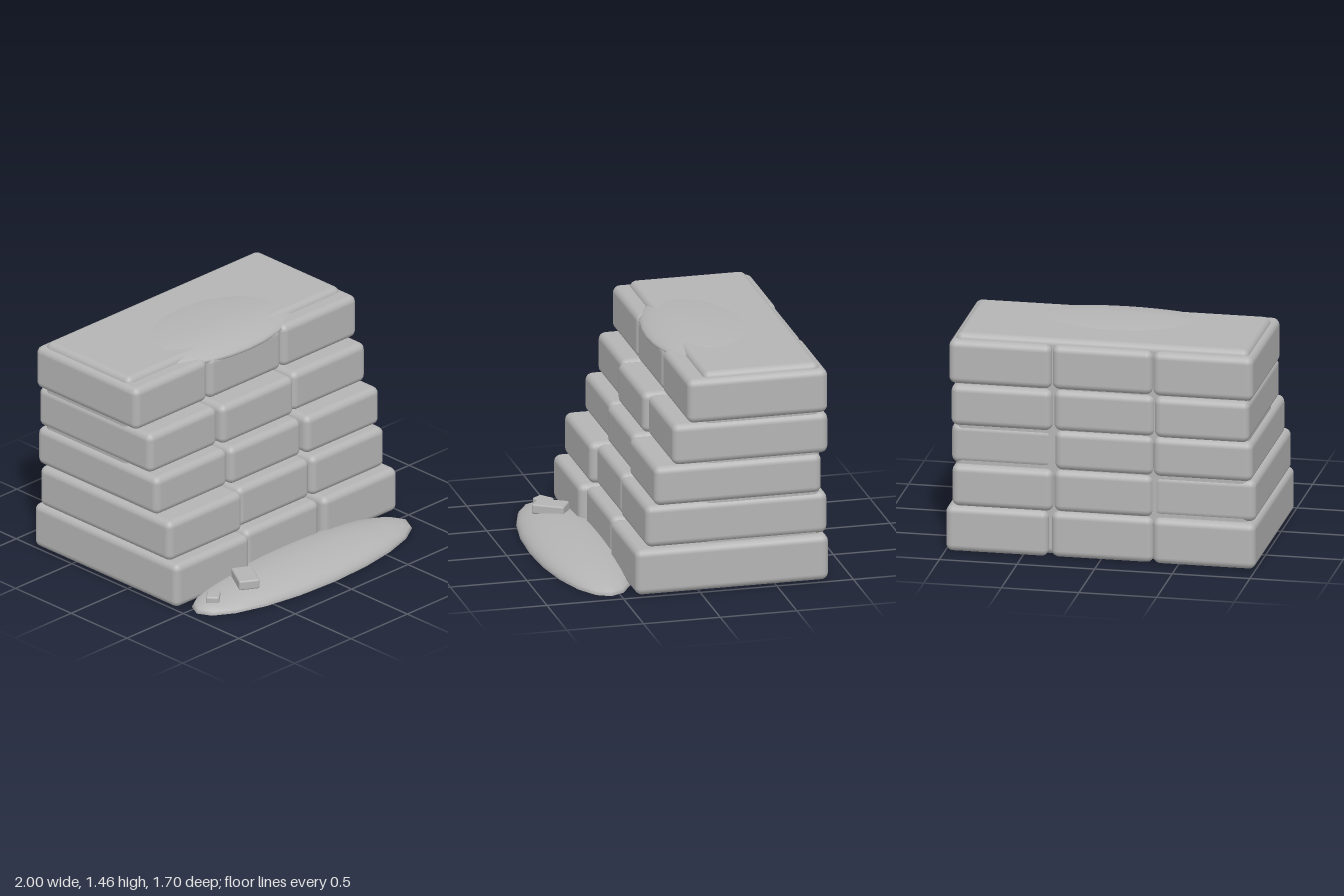
import * as THREE from 'three';
import { RoundedBoxGeometry } from 'three/addons/geometries/RoundedBoxGeometry.js';

const stone = new THREE.MeshStandardMaterial({ color: 0xb4b4b4 });
stone.name = 'grey stone';

// Rounded block given by its lower and upper limits on each axis
function block(name, [x0, x1], [y0, y1], [z0, z1], radius) {
  const geo = new RoundedBoxGeometry(x1 - x0, y1 - y0, z1 - z0, 3, radius);
  const mesh = new THREE.Mesh(geo, stone);
  mesh.name = name;
  mesh.position.set((x0 + x1) / 2, (y0 + y1) / 2, (z0 + z1) / 2);
  return mesh;
}

// Small chip of stone lying turned on the mound
function chip(name, size, position, turn) {
  const mesh = new THREE.Mesh(new RoundedBoxGeometry(...size, 2, 0.012), stone);
  mesh.name = name;
  mesh.position.set(...position);
  mesh.rotation.y = turn;
  return mesh;
}

export function createModel() {
  const model = new THREE.Group();
  model.name = 'steppedBlockWall';

  // Solid core that shows between the blocks and as the top slab
  model.add(block('core', [-0.95, 0.94], [0.012, 1.44], [-0.8, -0.04], 0.045));

  // Courses from the bottom up; x limits, front and back for the three columns
  const courses = [
    { y: [0.005, 0.305], x: [[-1, -0.34], [-0.34, 0.315], [0.335, 0.995]], front: [0.44, 0.4, 0.415], back: [-0.85, -0.84, -0.845] },
    { y: [0.305, 0.58], x: [[-0.995, -0.335], [-0.335, 0.3], [0.305, 0.955]], front: [0.37, 0.33, 0.34], back: [-0.806, -0.835, -0.845] },
    { y: [0.58, 0.84], x: [[-0.98, -0.34], [-0.34, 0.295], [0.31, 0.965]], front: [0.24, 0.26, 0.285], back: [-0.84, -0.83, -0.806] },
    { y: [0.84, 1.11], x: [[-0.96, -0.35], [-0.345, 0.3], [0.31, 0.96]], front: [0.16, 0.19, 0.165], back: [-0.85, -0.835, -0.85] },
    { y: [1.115, 1.405], x: [[-0.985, -0.34], [-0.335, 0.31], [0.315, 0.975]], front: [0.06, 0.065, 0.07], back: [-0.85, -0.84, -0.845] },
  ];
  const columns = ['right', 'middle', 'left'];
  courses.forEach((course, row) => {
    columns.forEach((side, i) => {
      model.add(block(`${side}Block${row + 1}`, course.x[i], course.y, [course.back[i], course.front[i]], 0.045));
    });
  });

  // Flattened cap on the top, drooping over the front edge
  const capGeo = new THREE.SphereGeometry(1, 28, 16);
  const p = capGeo.attributes.position;
  for (let i = 0; i < p.count; i++) {
    const x = p.getX(i), y = p.getY(i), z = p.getZ(i);
    const droop = z > 0 ? 0.025 * z * z : 0;
    p.setXYZ(i, x * 0.65 - 0.01, 1.4 + y * 0.06 - droop, z * (z > 0 ? 0.305 : 0.43) - 0.215);
  }
  capGeo.computeVertexNormals();
  const cap = new THREE.Mesh(capGeo, stone);
  cap.name = 'topCap';
  model.add(cap);

  // Low mound at the foot, with a flat underside
  const mound = new THREE.Group();
  mound.name = 'footMound';
  mound.position.set(-0.005, 0, 0.56);
  mound.scale.set(0.935, 0.112, 0.29);
  const dome = new THREE.Mesh(new THREE.SphereGeometry(1, 20, 8, 0, Math.PI * 2, 0, Math.PI / 2), stone);
  dome.name = 'moundTop';
  const base = new THREE.Mesh(new THREE.CircleGeometry(1, 20), stone);
  base.name = 'moundBase';
  base.rotation.x = Math.PI / 2;
  mound.add(dome, base);
  model.add(mound);

  // Loose chips
  model.add(chip('largeChip', [0.135, 0.065, 0.21], [-0.525, 0.112, 0.578], -0.53));
  model.add(chip('smallChip', [0.085, 0.05, 0.11], [-0.79, 0.063, 0.557], -0.88));

  return model;
}
